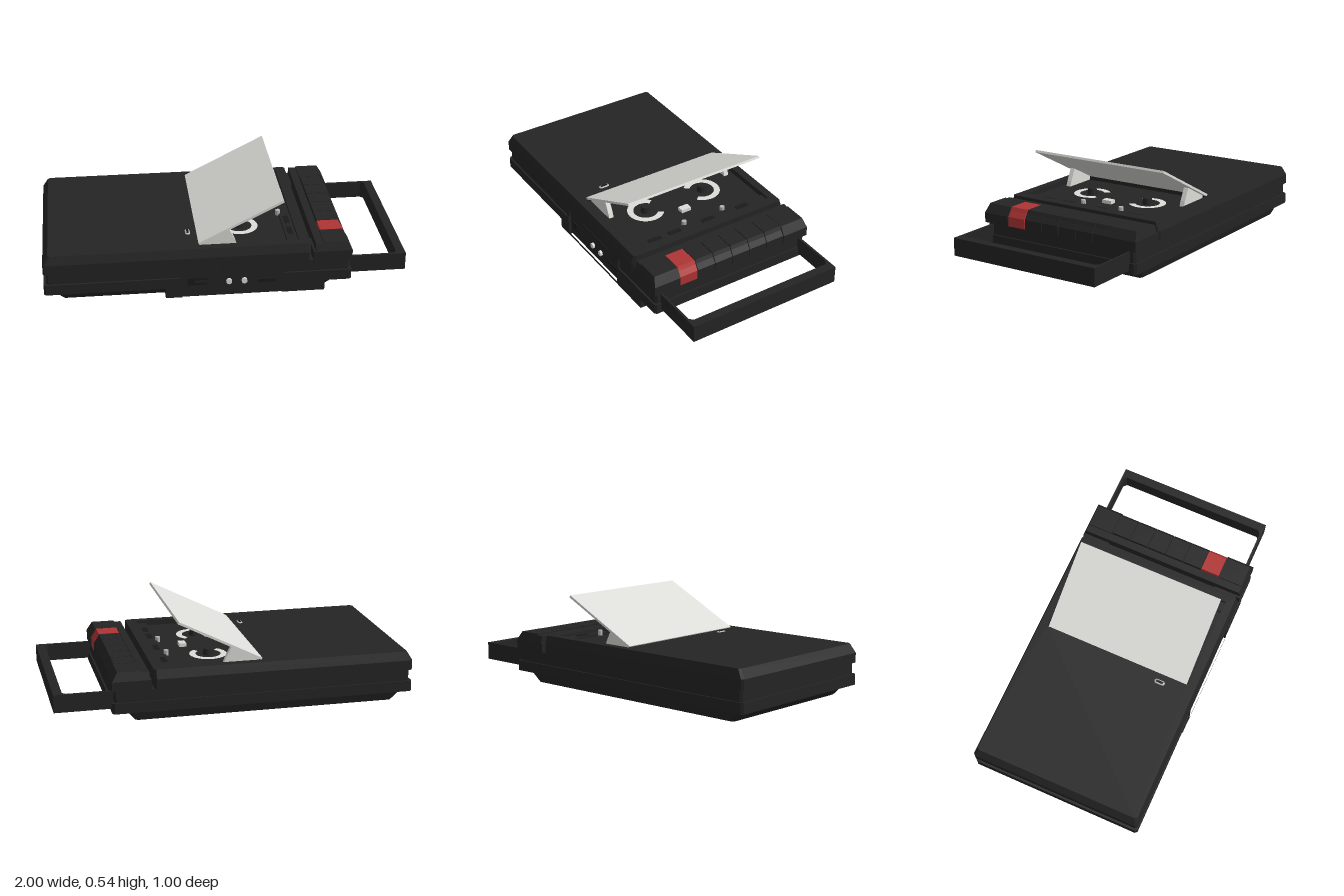
import * as THREE from 'three';

const mat = (name, color) => {
  const m = new THREE.MeshStandardMaterial({ color });
  m.name = name;
  return m;
};

export function createModel() {
  const root = new THREE.Group();
  const black = mat('black plastic', 0x242424);
  const dark = mat('dark recess', 0x1a1a1a);
  const light = mat('light plastic', 0xdcdcd8);
  const red = mat('record red', 0xb03434);
  const metal = mat('metal', 0xb4b4b4);

  const add = (name, geo, material, parent = root) => {
    const m = new THREE.Mesh(geo, material);
    m.name = name;
    parent.add(m);
    return m;
  };
  const box = (name, x0, x1, y0, y1, z0, z1, material = black, parent = root) => {
    const m = add(name, new THREE.BoxGeometry(x1 - x0, y1 - y0, z1 - z0), material, parent);
    m.position.set((x0 + x1) / 2, (y0 + y1) / 2, (z0 + z1) / 2);
    return m;
  };
  const rectPath = (x0, x1, y0, y1) => new THREE.Path(
    [[x0, y0], [x0, y1], [x1, y1], [x1, y0]].map(p => new THREE.Vector2(...p)));

  // Horizontal slab with clipped corners, optional notch in the front edge and hole
  const slab = (name, x0, x1, z0, z1, y0, y1, { notch, hole, rule, c = 0.012 } = {}) => {
    const pts = [[x0, -z1 + c], [x0 + c, -z1]];
    if (notch) pts.push([notch[0], -z1], [notch[0], -z1 + notch[2]], [notch[1], -z1 + notch[2]], [notch[1], -z1]);
    pts.push([x1 - c, -z1], [x1, -z1 + c], [x1, -z0 - c], [x1 - c, -z0], [x0 + c, -z0], [x0, -z0 - c]);
    const shape = new THREE.Shape(pts.map(p => new THREE.Vector2(...p)));
    if (hole) shape.holes.push(rectPath(...hole));
    const g = new THREE.ExtrudeGeometry(shape, { depth: y1 - y0, bevelEnabled: false });
    g.rotateX(-Math.PI / 2).translate(0, y0, 0);
    if (rule) {
      const p = g.attributes.position;
      for (let i = 0; i < p.count; i++) {
        const v = new THREE.Vector3().fromBufferAttribute(p, i);
        rule(v);
        p.setXYZ(i, v.x, v.y, v.z);
      }
      g.computeVertexNormals();
    }
    return add(name, g, black);
  };

  // Side profile (x, y) extruded across z
  const profile = (name, pts, z0, z1, material = black, rule) => {
    const g = new THREE.ExtrudeGeometry(new THREE.Shape(pts.map(p => new THREE.Vector2(...p))),
      { depth: z1 - z0, bevelEnabled: false });
    g.translate(0, 0, z0);
    if (rule) {
      const p = g.attributes.position;
      for (let i = 0; i < p.count; i++) p.setZ(i, rule(p.getY(i), p.getZ(i)));
      g.computeVertexNormals();
    }
    return add(name, g, material);
  };

  // Case layers
  const notch = [-0.25, 0.3, 0.025];
  slab('base', -0.95, 0.61, -0.47, 0.47, 0.01, 0.07, {
    rule: v => {
      if (v.y < 0.04) {
        v.x += v.x < 0 ? 0.05 : -0.05;
        v.z += v.z < 0 ? 0.02 : -0.035;
      }
    },
  });
  box('frontBase', -0.34, -0.25, 0.01, 0.07, 0.4, 0.499);
  box('frontBase', 0.3, 0.54, 0.01, 0.07, 0.4, 0.499);
  box('frontBase', -0.25, 0.3, 0.01, 0.07, 0.4, 0.475);
  slab('lowerBand', -1, 0.69, -0.5, 0.5, 0.07, 0.13, { notch });
  slab('grooveBand', -0.985, 0.68, -0.49, 0.49, 0.13, 0.195, { notch: [-0.25, 0.3, 0.015] });
  slab('upperBand', -1, 0.46, -0.5, 0.5, 0.195, 0.25);
  slab('topCover', -1, 0.46, -0.5, 0.5, 0.25, 0.3, {
    hole: [-0.15, 0.4, -0.44, 0.44],
    rule: v => {
      if (v.y > 0.28) {
        if (v.x < -0.9) v.x += 0.03;
        if (Math.abs(v.z) > 0.46) v.z -= Math.sign(v.z) * 0.015;
      }
    },
  });

  // Feet
  for (const x of [-0.54, 0.5]) for (const z of [-0.32, 0.33]) {
    const foot = add('foot', new THREE.CylinderGeometry(0.03, 0.026, 0.014, 16), black);
    foot.position.set(x, 0.007, z);
  }

  // Front socket panel
  const frame = new THREE.Shape(rectPath(-0.26, 0.31, 0.015, 0.195).getPoints());
  frame.holes.push(rectPath(-0.245, 0.295, 0.03, 0.183));
  add('socketFrame', new THREE.ExtrudeGeometry(frame, { depth: 0.026, bevelEnabled: false }), black)
    .position.z = 0.475;
  box('socketPanel', -0.25, 0.3, 0.02, 0.19, 0.47, 0.482);
  box('slideSwitch', -0.21, -0.11, 0.105, 0.118, 0.48, 0.486, dark);
  box('slideSwitch', -0.21, -0.11, 0.075, 0.088, 0.48, 0.486, dark);
  box('switchEnd', -0.22, -0.18, 0.075, 0.118, 0.48, 0.488, dark);
  box('powerSocket', 0.17, 0.27, 0.07, 0.09, 0.48, 0.486, dark);
  for (const x of [0.01, 0.095]) {
    const jack = add('jack', new THREE.CylinderGeometry(0.016, 0.016, 0.015, 16), light);
    jack.rotation.x = Math.PI / 2;
    jack.position.set(x, 0.09, 0.488);
  }

  // Key deck: cheeks, rear rail and six keys
  const cheek = [[0.475, 0.195], [0.69, 0.195], [0.69, 0.25], [0.66, 0.3], [0.53, 0.3],
    [0.53, 0.292], [0.487, 0.292], [0.487, 0.25], [0.475, 0.25]];
  for (const s of [1, -1]) {
    profile('keyCheek', cheek, s > 0 ? 0.34 : -0.5, s > 0 ? 0.5 : -0.34, black,
      (y, z) => Math.abs(z) > 0.45 && y > 0.26 ? z - s * 0.015 * (y - 0.25) / 0.05 : z);
  }
  box('keyRail', 0.487, 0.53, 0.195, 0.292, -0.34, 0.34);
  const keyShape = [[0.536, 0.195], [0.685, 0.195], [0.685, 0.25], [0.665, 0.28], [0.655, 0.3], [0.536, 0.3]];
  for (let i = 0; i < 6; i++) {
    const z = 0.34 - i * 0.1133;
    profile(i ? 'key' : 'recordKey', keyShape, z - 0.111, z - 0.002, i ? black : red);
  }

  // Carrying handle
  const grip = new THREE.Shape([[0.68, 0.46], [1, 0.46], [1, -0.46], [0.68, -0.46], [0.68, -0.447],
    [0.93, -0.447], [0.95, -0.43], [0.95, 0.43], [0.93, 0.447], [0.68, 0.447]]
    .map(p => new THREE.Vector2(...p)));
  const gripGeo = new THREE.ExtrudeGeometry(grip, { depth: 0.1, bevelEnabled: false });
  gripGeo.rotateX(-Math.PI / 2).translate(0, 0.09, 0);
  add('handle', gripGeo, black);

  // Cassette bay
  box('bayFloor', -0.15, 0.4, 0.245, 0.27, -0.44, 0.44);
  box('bayStep', 0.34, 0.4, 0.26, 0.285, -0.44, 0.44);
  for (const s of [1, -1]) {
    const ring = add('reelGuide', new THREE.RingGeometry(0.07, 0.105, 32, 1, 0.7, Math.PI * 2 - 1.4), light);
    ring.rotation.set(-Math.PI / 2, 0, s * Math.PI / 2);
    ring.position.set(0.1, 0.274, s * 0.19);
    const spindle = add('spindle', new THREE.CylinderGeometry(0.025, 0.03, 0.04, 12), black);
    spindle.position.set(0.1, 0.285, s * 0.19);
  }
  box('tapeHead', 0.19, 0.23, 0.27, 0.29, -0.03, 0.03, light);
  for (const z of [-0.17, 0.085]) {
    const pin = add('guidePin', new THREE.CylinderGeometry(0.014, 0.014, 0.03, 12), metal);
    pin.position.set(0.335, 0.29, z);
  }
  for (const z of [-0.28, -0.05, 0.17, 0.3]) box('baySlot', 0.355, 0.385, 0.284, 0.288, z - 0.04, z + 0.04, dark);

  // Open lid with its two hinge cheeks
  const lid = box('lid', -0.26, 0.26, -0.0065, 0.0065, -0.43, 0.43, light);
  lid.rotation.z = Math.atan2(0.235, 0.465);
  lid.position.set(0.0825, 0.416, 0);
  for (const z of [-0.39, 0.39])
    profile('lidArm', [[-0.14, 0.275], [0.06, 0.275], [0.05, 0.305], [0.015, 0.375], [-0.14, 0.298]],
      z - 0.014, z + 0.014, light);

  // Small window on the top cover
  const dial = add('indicatorRim', new THREE.CapsuleGeometry(0.014, 0.035, 4, 12), metal);
  dial.rotation.x = Math.PI / 2;
  dial.scale.z = 0.4;
  dial.position.set(-0.2, 0.3, 0.285);
  box('indicatorSlot', -0.206, -0.194, 0.3, 0.307, 0.265, 0.305, dark);
  return root;
}
